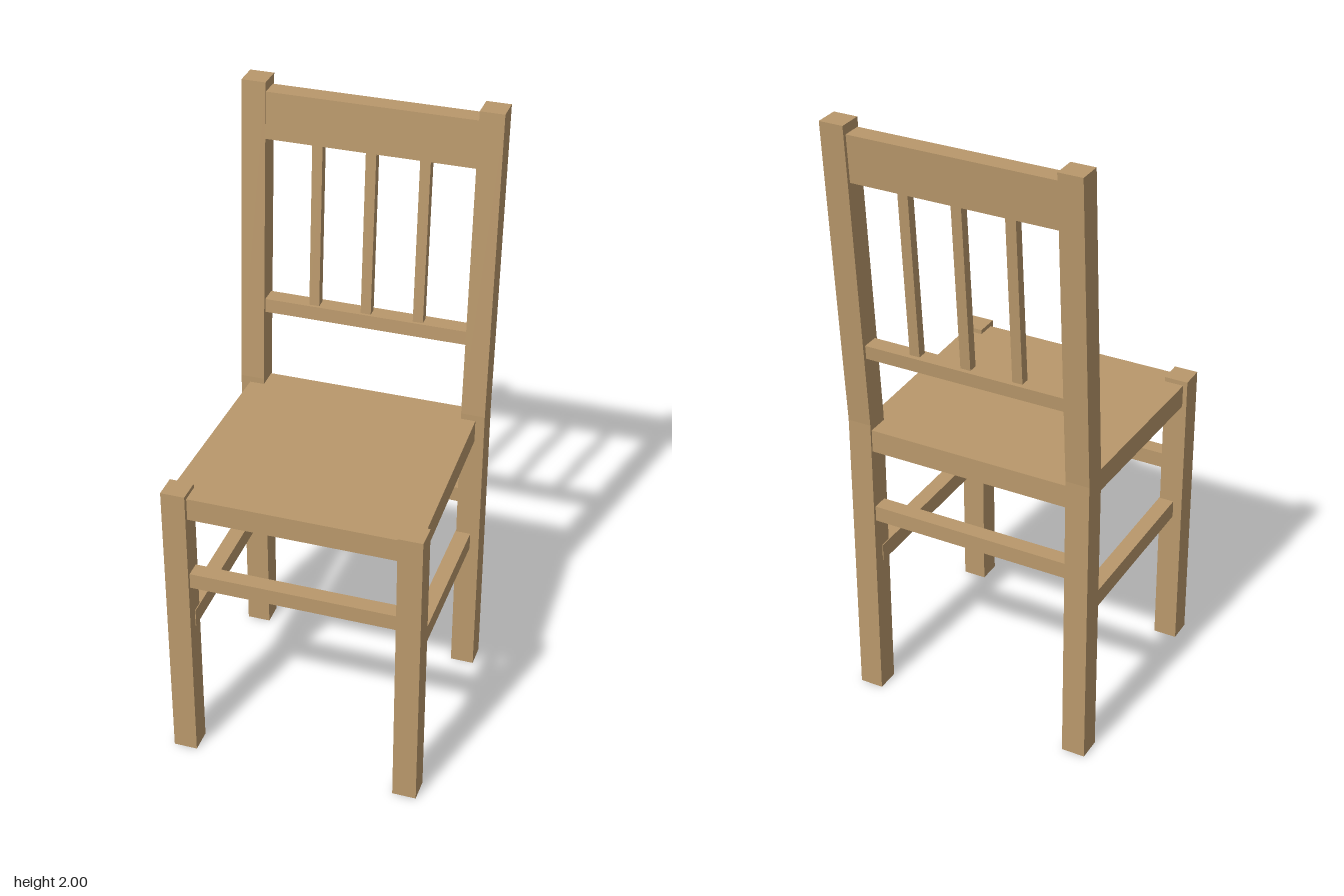
import * as THREE from 'three';

const LEG_X = 0.369, FRONT_Z = 0.385, BACK_Z = -0.31, LEG = 0.077;
const BEND_Y = 1, LEAN = 0.073; // the back leans by LEAN per unit above BEND_Y

export function createModel() {
  const wood = new THREE.MeshStandardMaterial({ color: 0xb9986b });
  wood.name = 'lightWood';

  const chair = new THREE.Group();
  chair.name = 'chair';

  // Block from min and max corners; a rule may move its vertices.
  function block(name, [x0, x1], [y0, y1], [z0, z1], rule, rows = 1) {
    let geo = new THREE.BoxGeometry(x1 - x0, y1 - y0, z1 - z0, 1, rows, 1);
    geo.translate((x0 + x1) / 2, (y0 + y1) / 2, (z0 + z1) / 2);
    if (rule) {
      const p = geo.attributes.position, v = new THREE.Vector3();
      for (let i = 0; i < p.count; i++) {
        rule(v.fromBufferAttribute(p, i));
        p.setXYZ(i, v.x, v.y, v.z);
      }
      geo = geo.toNonIndexed();
      geo.computeVertexNormals();
    }
    const mesh = new THREE.Mesh(geo, wood);
    mesh.name = name;
    chair.add(mesh);
  }

  const around = (c, size) => [c - size / 2, c + size / 2];
  const lean = (v) => { v.z -= LEAN * Math.max(0, v.y - BEND_Y); };

  // Legs and side stretchers, mirrored
  for (const [side, s] of [['left', 1], ['right', -1]]) {
    block(side + 'FrontLeg', around(s * LEG_X, LEG), [0, 0.995], around(FRONT_Z, LEG));
    block(side + 'BackPost', around(s * LEG_X, LEG), [0, 2], around(BACK_Z, LEG), lean, 2);
    block(side + 'Stretcher', around(s * 0.353, 0.05), [0.482, 0.54], [BACK_Z, FRONT_Z]);
  }

  // Front and back stretchers
  block('frontStretcher', [-LEG_X, LEG_X], [0.65, 0.702], [0.36, 0.412]);
  block('backStretcher', [-LEG_X, LEG_X], [0.65, 0.702], [-0.339, -0.287]);

  // Seat slab, slightly narrower at the back
  block('seat', [-0.395, 0.395], [0.905, 0.98], [-0.342, 0.409], (v) => {
    if (v.z < 0) v.x *= 0.376 / 0.395;
  });

  // Leaning backrest: two rails and three slats
  block('topRail', [-LEG_X, LEG_X], [1.82, 1.97], [-0.337, -0.275], lean);
  block('lowerBackRail', [-LEG_X, LEG_X], [1.235, 1.28], [-0.337, -0.282], lean);
  for (const x of [-0.17, 0, 0.17]) {
    block('backSlat', around(x, 0.033), [1.27, 1.83], [-0.322, -0.291], lean);
  }

  // The chair stands turned on the floor
  chair.rotation.y = -0.8994;
  const model = new THREE.Group();
  model.name = 'woodenChair';
  model.add(chair);
  return model;
}
